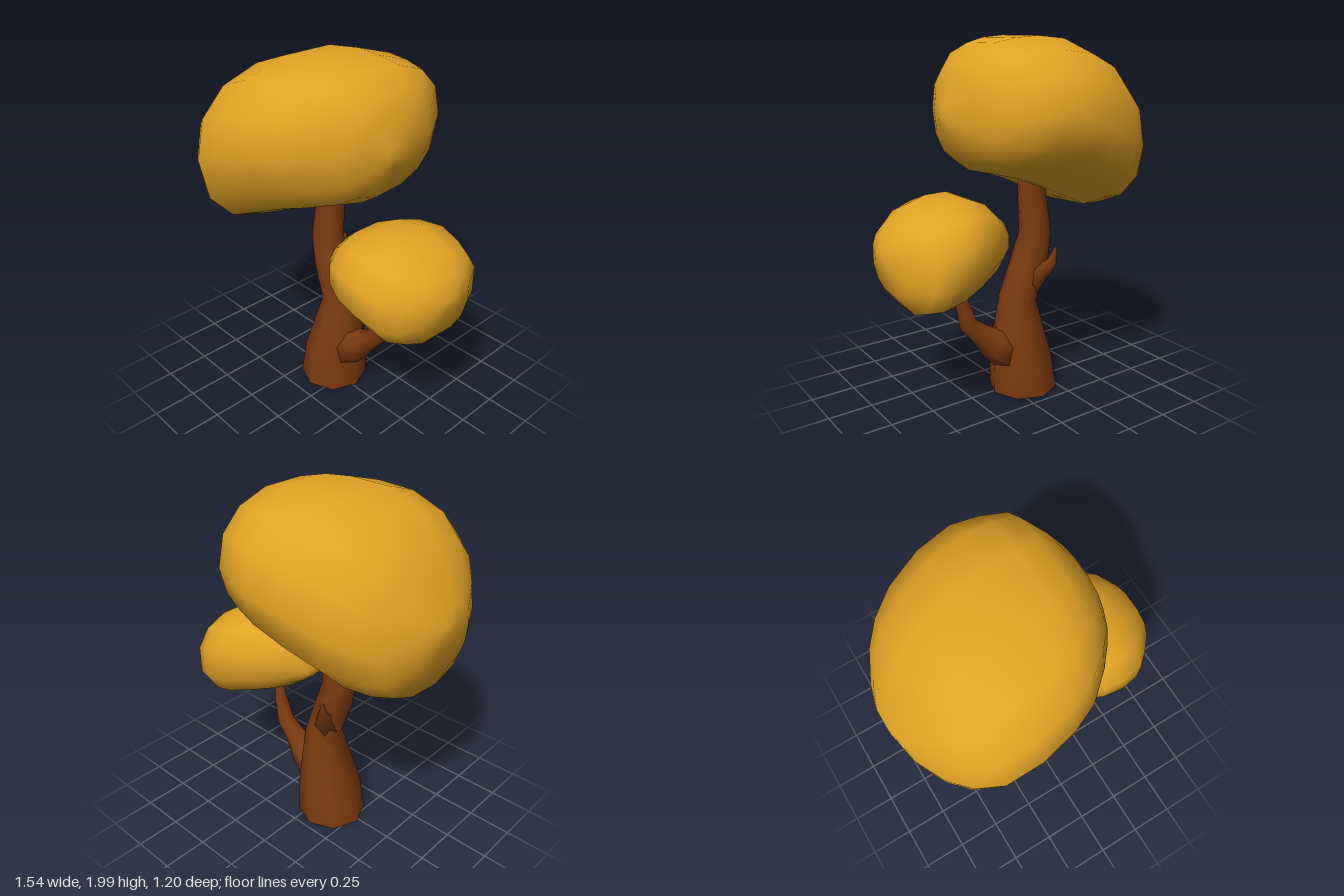
import * as THREE from 'three';

const bark = new THREE.MeshStandardMaterial({ color: 0x7a3a10 });
bark.name = 'brown bark';
const foliage = new THREE.MeshStandardMaterial({ color: 0xe2a325 });
foliage.name = 'golden foliage';

// Closed smooth skin over a list of rings, with a fan at each end
function loft(name, rings, material) {
  const n = rings[0].length, m = rings.length;
  const points = rings.flat(), index = [];
  for (let i = 0; i < m - 1; i++) {
    for (let j = 0; j < n; j++) {
      const a = i * n + j, b = i * n + (j + 1) % n;
      index.push(a, b, a + n, b, b + n, a + n);
    }
  }
  const middle = (ring) => ring.reduce((s, p) => s.add(p), new THREE.Vector3()).divideScalar(n);
  points.push(middle(rings[0]), middle(rings[m - 1]));
  const last = (m - 1) * n;
  for (let j = 0; j < n; j++) {
    const k = (j + 1) % n;
    index.push(m * n, k, j, m * n + 1, last + j, last + k);
  }
  const geometry = new THREE.BufferGeometry().setFromPoints(points);
  geometry.setIndex(index);
  geometry.computeVertexNormals();
  const mesh = new THREE.Mesh(geometry, material);
  mesh.name = name;
  return mesh;
}

// Tapering limb along [x, y, z, radius] points
function limb(name, path, sides) {
  const up = new THREE.Vector3(0, 1, 0);
  const at = path.map(([x, y, z]) => new THREE.Vector3(x, y, z));
  const rings = path.map(([, y, , r], i) => {
    const next = at[Math.min(i + 1, at.length - 1)], prev = at[Math.max(i - 1, 0)];
    const along = y === 0 ? up : next.clone().sub(prev).normalize();
    const turn = new THREE.Quaternion().setFromUnitVectors(up, along);
    return Array.from({ length: sides }, (_, j) => {
      const a = (j / sides) * Math.PI * 2;
      return new THREE.Vector3(Math.cos(a) * r, 0, -Math.sin(a) * r).applyQuaternion(turn).add(at[i]);
    });
  });
  return loft(name, rings, bark);
}

// Leaf mass from slices [x, bottom, top, back, front]; skew tips its underside sideways
function canopy(name, slices, sides, skew) {
  const power = 2 / 2.3;
  const round = (v) => Math.sign(v) * Math.abs(v) ** power;
  const rings = slices.map(([x, bottom, top, back, front]) =>
    Array.from({ length: sides }, (_, j) => {
      const a = ((j + 0.5) / sides) * Math.PI * 2;
      const c = round(Math.cos(a)), s = round(Math.sin(a));
      const z = (back + front) / 2 + s * (front - back) / 2;
      const y = (bottom + top) / 2 + c * (top - bottom) / 2 * 1.015;
      return new THREE.Vector3(x, y + Math.max(0, -c) * skew * z, z);
    }));
  return loft(name, rings, foliage);
}

export function createModel() {
  const tree = new THREE.Group();
  tree.name = 'tree';

  // Trunk; the doubled first point keeps the base edge sharp
  tree.add(limb('trunk', [
    [-0.09, 0, -0.02, 0.197], [-0.09, 0, -0.02, 0.197], [-0.07, 0.2, -0.02, 0.182],
    [-0.04, 0.56, -0.035, 0.107], [-0.115, 0.76, -0.04, 0.105], [-0.155, 0.93, -0.04, 0.092],
    [-0.125, 1.2, -0.04, 0.076], [-0.11, 1.3, -0.04, 0.055],
  ], 8));

  // Side branch and the small stub at the back
  tree.add(limb('sideBranch', [
    [0, 0.24, -0.02, 0.13], [0.13, 0.32, -0.02, 0.09], [0.2, 0.39, -0.02, 0.064],
    [0.285, 0.47, -0.02, 0.052], [0.325, 0.62, -0.02, 0.038], [0.335, 0.74, -0.02, 0.025],
  ], 7));
  tree.add(limb('twig', [
    [-0.08, 0.62, -0.05, 0.085], [-0.13, 0.72, -0.13, 0.05],
    [-0.165, 0.78, -0.185, 0.03], [-0.18, 0.87, -0.2, 0.008],
  ], 6));

  // Leaf masses
  tree.add(canopy('largeCanopy', [
    [-0.775, 1.36, 1.46, -0.07, 0.07], [-0.74, 1.2, 1.54, -0.2, 0.24],
    [-0.66, 1.06, 1.69, -0.35, 0.4], [-0.57, 1.04, 1.81, -0.44, 0.51],
    [-0.44, 1.05, 1.91, -0.52, 0.585], [-0.25, 1.135, 1.98, -0.58, 0.597],
    [-0.06, 1.22, 1.995, -0.6, 0.56], [0.08, 1.265, 1.985, -0.565, 0.5],
    [0.21, 1.3, 1.96, -0.51, 0.385], [0.3, 1.36, 1.87, -0.37, 0.28],
    [0.35, 1.44, 1.79, -0.27, 0.17], [0.388, 1.54, 1.64, -0.05, 0.06],
  ], 14, -0.07));
  tree.add(canopy('smallCanopy', [
    [0.06, 0.87, 0.93, -0.06, 0.06], [0.11, 0.83, 1.06, -0.17, 0.19],
    [0.2, 0.77, 1.14, -0.26, 0.28], [0.33, 0.725, 1.195, -0.35, 0.345],
    [0.46, 0.68, 1.195, -0.395, 0.355], [0.58, 0.64, 1.16, -0.375, 0.33],
    [0.66, 0.65, 1.11, -0.345, 0.26], [0.735, 0.74, 1.06, -0.2, 0.17],
    [0.77, 0.88, 0.96, -0.07, 0.06],
  ], 12, 0.07));
  return tree;
}
